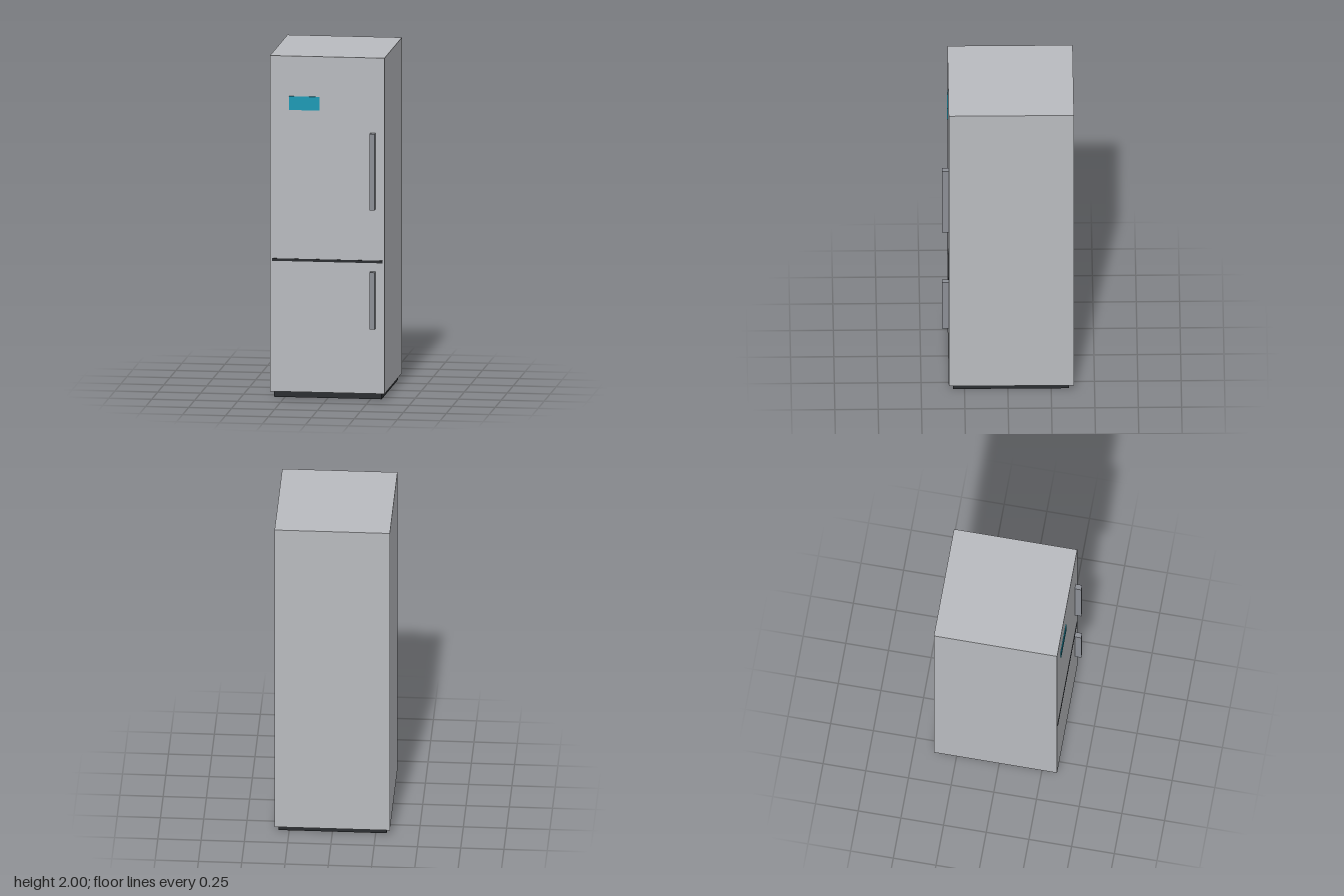
import * as THREE from 'three';

const material = (name, color) => {
  const m = new THREE.MeshStandardMaterial({ color });
  m.name = name;
  return m;
};

export function createModel() {
  const model = new THREE.Group();
  model.name = 'refrigerator';

  const steel = material('brushed steel', 0xb9bbbf);
  const handleGrey = material('handle grey', 0x8c8f96);
  const dark = material('dark plastic', 0x2b2e31);
  const teal = material('display teal', 0x1f9ab5);

  // Box given by its [min, max] range on each axis
  const box = (name, mat, x, y, z) => {
    const [w, h, d] = [x, y, z].map(([a, b]) => b - a);
    const mesh = new THREE.Mesh(new THREE.BoxGeometry(w, h, d), mat);
    mesh.position.set(...[x, y, z].map(([a, b]) => (a + b) / 2));
    mesh.name = name;
    model.add(mesh);
  };

  const front = 0.341;

  // Cabinet on its recessed plinth
  box('cabinet', steel, [-0.333, 0.333], [0.036, 2], [-0.381, front]);
  box('plinth', dark, [-0.313, 0.313], [0, 0.036], [-0.352, 0.315]);

  // Seam between the two doors and the display panel
  box('doorSeam', dark, [-0.322, 0.322], [0.8, 0.815], [front, front + 0.003]);
  box('displayPanel', teal, [-0.223, -0.045], [1.685, 1.765], [front, front + 0.005]);

  // Door handles
  const handles = { upperHandle: [1.115, 1.56], lowerHandle: [0.417, 0.75] };
  for (const [name, y] of Object.entries(handles)) {
    box(name, handleGrey, [0.251, 0.281], y, [front, 0.379]);
  }

  return model;
}
